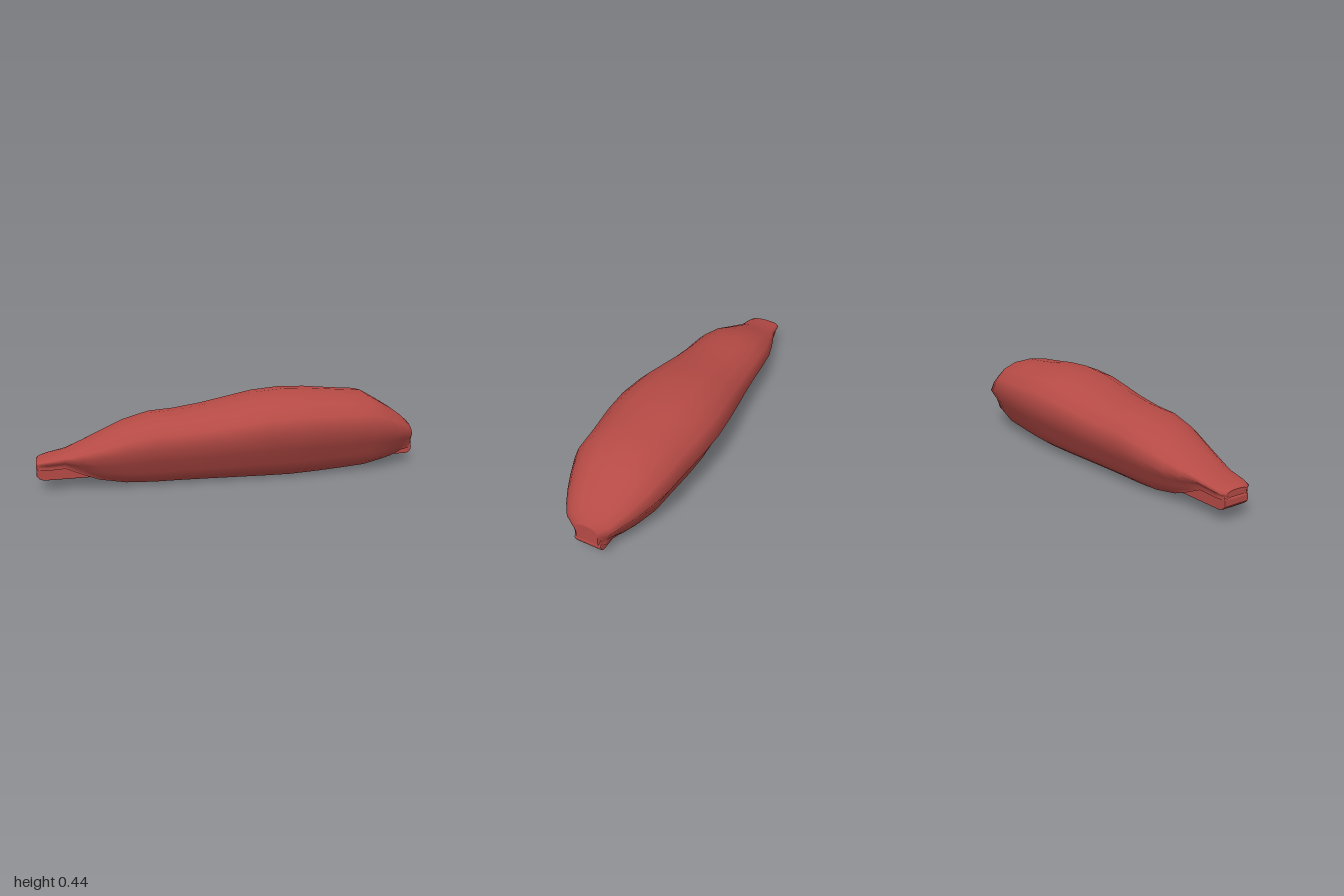
import * as THREE from 'three';

// Stations along the length: x, top height, half width, lower lip height
const STATIONS = [
  [-1, 0.147, 0.06, 0.112], [-0.985, 0.157, 0.085, 0.11], [-0.95, 0.167, 0.098, 0.108],
  [-0.86, 0.185, 0.108, 0.112], [-0.78, 0.22, 0.135, 0.075], [-0.7, 0.255, 0.16, 0.043],
  [-0.57, 0.312, 0.195, 0.018], [-0.43, 0.35, 0.214, 0.01], [-0.3, 0.358, 0.222, 0.008],
  [-0.15, 0.378, 0.237, 0.006], [0, 0.406, 0.257, 0.004], [0.13, 0.43, 0.273, 0.002],
  [0.28, 0.441, 0.283, 0], [0.42, 0.436, 0.277, 0.004], [0.57, 0.422, 0.26, 0.01],
  [0.71, 0.411, 0.248, 0.018], [0.8, 0.36, 0.214, 0.034], [0.87, 0.317, 0.182, 0.052],
  [0.93, 0.274, 0.148, 0.08], [0.975, 0.234, 0.115, 0.09], [1, 0.193, 0.062, 0.098],
];

// Half cross-section from lower lip to crown: fraction of width, fraction of height
const PROFILE = [
  [0.35, 0], [0.55, 0.085], [0.71, 0.22], [0.8, 0.385],
  [1, 0.605], [0.885, 0.77], [0.68, 0.9], [0.39, 0.977], [0, 1],
];

function shellRow([x, top, half, low]) {
  const side = PROFILE.map(([u, v]) => {
    const z = Math.max(u * half, v < 0.5 ? Math.min(0.078, half * 0.9) : 0);
    return [x, low + v * (top - low), z];
  });
  const other = side.slice(0, -1).reverse().map(([a, b, c]) => [a, b, -c]);
  return [...side, ...other];
}

// Underside: both lips, slot walls and slot ceiling
function slotRow(station) {
  const [x, , half, low] = station;
  const lip = shellRow(station)[0][2];
  const inner = Math.min(0.07, half * 0.8);
  const roof = Math.max(low + 0.004, 0.06);
  return [[x, low, -lip], [x, low, -inner], [x, roof, -inner],
    [x, roof, inner], [x, low, inner], [x, low, lip]];
}

// Skin a list of equally long rows of points
function loft(rows, flat = false) {
  const n = rows[0].length;
  const index = [];
  for (let i = 0; i < rows.length - 1; i++) {
    for (let j = 0; j < n - 1; j++) {
      const a = i * n + j, b = a + n;
      index.push(a, b, a + 1, b, b + 1, a + 1);
    }
  }
  let geometry = new THREE.BufferGeometry();
  geometry.setAttribute('position', new THREE.Float32BufferAttribute(rows.flat(2), 3));
  geometry.setIndex(index);
  if (flat) geometry = geometry.toNonIndexed();
  geometry.computeVertexNormals();
  return geometry;
}

export function createModel() {
  const group = new THREE.Group();
  const red = new THREE.MeshStandardMaterial({ color: 0xb54a45, side: THREE.DoubleSide });
  red.name = 'muted red';

  const add = (name, geometry) => {
    const mesh = new THREE.Mesh(geometry, red);
    mesh.name = name;
    group.add(mesh);
    return mesh;
  };

  // Rounded outer shell and its open slot underneath
  add('shell', loft(STATIONS.map(shellRow)));
  add('slot', loft(STATIONS.map(slotRow), true));

  // Small end caps
  const cap = (name, station, atStart) => {
    const ring = [...shellRow(station), ...slotRow(station).slice(1)];
    const y = (station[1] + station[3]) / 2;
    const centre = ring.map(() => [station[0], y, 0]);
    add(name, loft(atStart ? [centre, ring] : [ring, centre], true));
  };
  cap('narrowEndCap', STATIONS[0], true);
  cap('wideEndCap', STATIONS[STATIONS.length - 1], false);

  // Core bar that fills the slot and shows below the lip at both ends
  const side = new THREE.Shape();
  side.moveTo(-0.96, 0.06);
  side.lineTo(0.97, 0.06);
  side.quadraticCurveTo(0.993, 0.065, 0.995, 0.09);
  side.lineTo(0.985, 0.13);
  side.lineTo(-0.98, 0.13);
  side.lineTo(-0.995, 0.105);
  side.lineTo(-0.995, 0.08);
  side.quadraticCurveTo(-0.985, 0.062, -0.96, 0.06);
  const core = new THREE.ExtrudeGeometry(side, {
    depth: 0.124, bevelEnabled: true, bevelThickness: 0.008, bevelSize: 0.005, bevelSegments: 2, curveSegments: 5,
  });
  core.translate(0, 0, -0.062);
  add('coreBar', core);

  return group;
}
